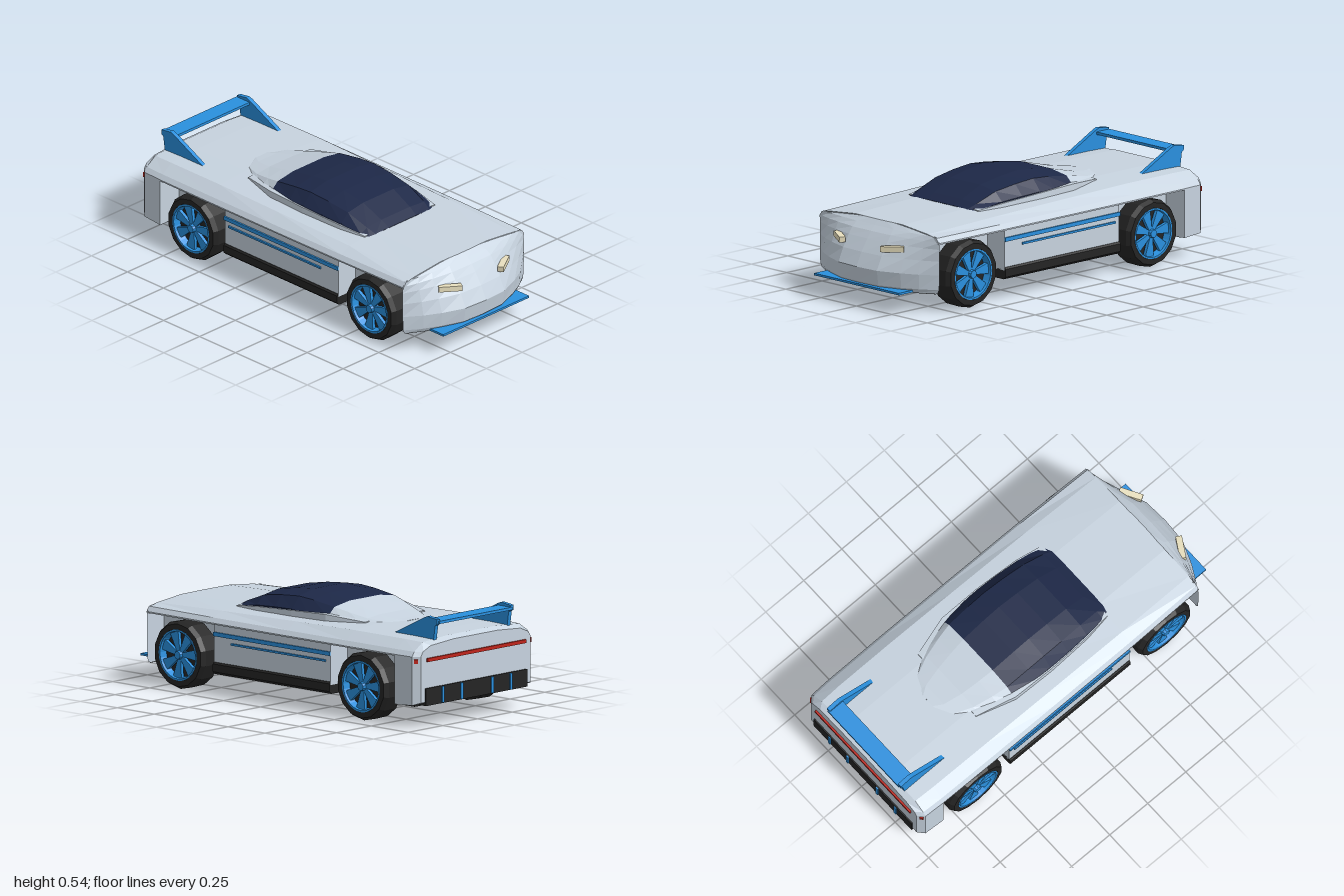
import * as THREE from 'three';

const mat = (name, color) => {
  const m = new THREE.MeshStandardMaterial({ color });
  m.name = name;
  return m;
};

export function createModel() {
  const paint = mat('silverPaint', 0xc7d3df);
  const blue = mat('blueAccent', 0x2a90de);
  const glass = mat('navyGlass', 0x1d2847);
  const black = mat('blackTrim', 0x242424);
  const cream = mat('creamLamp', 0xe8dfbe);
  const red = mat('redLamp', 0xc0241a);
  const model = new THREE.Group();
  model.name = 'sportsCar';

  const flat = (geo) => {
    const g = geo.index ? geo.toNonIndexed() : geo;
    g.computeVertexNormals();
    return g;
  };
  const add = (name, geo, material, parent = model) => {
    const mesh = new THREE.Mesh(geo, material);
    mesh.name = name;
    parent.add(mesh);
    return mesh;
  };
  const box = (name, material, x0, x1, y0, y1, z0, z1) => {
    const mesh = add(name, new THREE.BoxGeometry(x1 - x0, y1 - y0, z1 - z0), material);
    mesh.position.set((x0 + x1) / 2, (y0 + y1) / 2, (z0 + z1) / 2);
    return mesh;
  };

  // Closed, capped skin over rings that run counter-clockwise seen from the far end
  const loft = (rings) => {
    const out = [];
    const n = rings[0].length;
    const tri = (...pts) => pts.forEach((p) => out.push(...p));
    for (let i = 0; i < rings.length - 1; i++) {
      for (let j = 0; j < n; j++) {
        const k = (j + 1) % n;
        const a = rings[i], b = rings[i + 1];
        tri(a[j], a[k], b[k]);
        tri(a[j], b[k], b[j]);
      }
    }
    const cap = (ring, end) => {
      const c = [0, 1, 2].map((q) => ring.reduce((s, p) => s + p[q], 0) / n);
      for (let j = 0; j < n; j++) {
        const k = (j + 1) % n;
        if (end) tri(c, ring[j], ring[k]);
        else tri(c, ring[k], ring[j]);
      }
    };
    cap(rings[0], false);
    cap(rings[rings.length - 1], true);
    const g = new THREE.BufferGeometry();
    g.setAttribute('position', new THREE.Float32BufferAttribute(out, 3));
    return flat(g);
  };
  // Mirrors the +x half of a cross-section
  const mirrored = (half, z) => [
    ...half.map(([x, y]) => [x, y, z]),
    ...half.slice().reverse().map(([x, y]) => [-x, y, z]),
  ];
  const bodyRing = (z, hw, top, bottom, drop = 0.012) => mirrored([
    [hw, bottom], [hw, 0.362], [hw * 0.96, 0.386], [hw * 0.82, top - drop], [hw * 0.4, top],
  ], z);

  // Upper shell and tail
  add('upperBody', loft([
    bodyRing(-0.84, 0.43, 0.441, 0.355), bodyRing(-0.5, 0.432, 0.442, 0.355),
    bodyRing(-0.1, 0.432, 0.435, 0.355), bodyRing(0.4, 0.43, 0.427, 0.355, 0.015),
    bodyRing(0.845, 0.422, 0.415, 0.355, 0.018),
  ]), paint);
  add('tail', loft([
    bodyRing(-0.987, 0.395, 0.422, 0.13), bodyRing(-0.955, 0.425, 0.438, 0.118),
    bodyRing(-0.84, 0.43, 0.441, 0.112),
  ]), paint);

  // Nose: level rings, each tapering forward to its own depth [y, half width, front z]
  const bow = [[-1, 0], [-0.8, 0.38], [-0.6, 0.66], [-0.32, 0.95], [0, 1], [0.32, 0.95], [0.6, 0.66], [0.8, 0.38], [1, 0]];
  const noseLevels = [
    [0.105, 0.41, 0.97], [0.125, 0.42, 0.988], [0.2, 0.424, 1.0], [0.27, 0.424, 0.965],
    [0.33, 0.424, 0.925], [0.365, 0.422, 0.9], [0.39, 0.4, 0.873], [0.415, 0.17, 0.848],
  ];
  add('nose', loft(noseLevels.map(([y, hw, zf]) => bow.map(
    ([u, f]) => [u * hw, y, 0.84 + (zf - 0.84) * f]))), paint);

  // Doors, wheel-well walls, floors and sills
  box('doors', paint, -0.42, 0.42, 0.15, 0.36, -0.4, 0.39);
  box('wheelWellWalls', paint, -0.3, 0.3, 0.15, 0.356, -0.85, 0.845);
  box('upperFloor', black, -0.3, 0.3, 0.142, 0.15, -0.85, 0.845);
  box('midFloor', black, -0.4, 0.4, 0.108, 0.155, -0.4, 0.39);
  box('tailFloor', black, -0.4, 0.4, 0.108, 0.116, -0.95, -0.845);
  add('noseFloor', loft([0.101, 0.106].map(
    (y) => bow.map(([u, f]) => [u * 0.4, y, 0.841 + 0.12 * f]))), black);
  for (const [side, s] of [['left', 1], ['right', -1]]) {
    const sill = [[0.36, 0.105], [0.415, 0.105], [0.429, 0.118], [0.429, 0.157], [0.422, 0.166], [0.36, 0.166]];
    const ring = s > 0 ? sill : sill.map(([x, y]) => [-x, y]).reverse();
    add(side + 'Sill', loft([-0.4, 0.39].map((z) => ring.map(([x, y]) => [x, y, z]))), black);
    box(side + 'UpperStripe', blue, s * 0.424 - 0.0045, s * 0.424 + 0.0045, 0.297, 0.317, -0.4, 0.39);
    box(side + 'LowerStripe', blue, s * 0.424 - 0.0045, s * 0.424 + 0.0045, 0.264, 0.274, -0.37, 0.27);
  }

  // Cabin: glass in front, painted fairing behind, painted ledge along the sides
  const cabinRing = (z, w, top, base = 0.41) => {
    const h = top - base;
    return mirrored([
      [w, base], [w * 0.98, base + h * 0.38], [w * 0.8, base + h * 0.83], [w * 0.4, top],
    ], z);
  };
  add('windowGlass', loft([
    cabinRing(-0.235, 0.272, 0.511), cabinRing(-0.1, 0.277, 0.533), cabinRing(0, 0.278, 0.542),
    cabinRing(0.12, 0.274, 0.531), cabinRing(0.25, 0.265, 0.509), cabinRing(0.37, 0.25, 0.455),
    cabinRing(0.42, 0.235, 0.428),
  ]), glass);
  add('rearFairing', loft([
    cabinRing(-0.565, 0.09, 0.443), cabinRing(-0.52, 0.165, 0.448), cabinRing(-0.42, 0.22, 0.463),
    cabinRing(-0.32, 0.252, 0.489), cabinRing(-0.235, 0.272, 0.511),
  ]), paint);
  const ledgeRing = (z, w, top) => mirrored([[w, 0.41], [w - 0.003, top], [w - 0.03, top + 0.002]], z);
  add('cabinLedge', loft([
    ledgeRing(-0.44, 0.22, 0.443), ledgeRing(-0.23, 0.279, 0.463), ledgeRing(0, 0.283, 0.456),
    ledgeRing(0.25, 0.271, 0.442), ledgeRing(0.4, 0.248, 0.426),
  ]), paint);

  // Front splitter and wedge headlamps
  box('frontSplitter', blue, -0.3, 0.3, 0.105, 0.116, 0.9, 1.0);
  for (const [side, s] of [['left', 1], ['right', -1]]) {
    const lamp = box(side + 'Headlamp', cream, -0.06, 0.06, -0.014, 0.014, -0.02, 0.012);
    lamp.position.set(s * 0.187, 0.311, 0.934);
    lamp.rotation.set(0, s * 0.54, s * 0.05);
  }

  // Rear lamps, bumper and diffuser fins
  box('rearLightBar', red, -0.355, 0.355, 0.332, 0.35, -0.997, -0.985);
  box('rearBumper', black, -0.365, 0.365, 0.112, 0.2, -0.994, -0.94);
  for (const x of [-0.245, -0.11, 0.11, 0.245]) {
    box('diffuserFin', blue, x - 0.008, x + 0.008, 0.115, 0.196, -1.0, -0.96);
  }
  for (const s of [1, -1]) {
    const marker = box('cornerMarker', red, -0.01, 0.01, 0.329, 0.349, -0.004, 0.004);
    marker.position.set(s * 0.413, 0.339, -0.971);
    marker.rotation.y = -s * 0.75;
  }

  // Rear wing on two swept end plates
  const v = (pts) => pts.map(([x, y]) => new THREE.Vector2(x, y));
  const plateGeo = new THREE.ExtrudeGeometry(new THREE.Shape(v([
    [0.69, 0.43], [0.96, 0.42], [0.972, 0.5], [0.985, 0.51], [0.985, 0.533], [0.92, 0.542], [0.9, 0.535],
  ])), { depth: 0.022, bevelEnabled: false });
  plateGeo.rotateY(Math.PI / 2).translate(-0.011, 0, 0);
  for (const s of [1, -1]) {
    add('wingEndPlate', plateGeo, blue).position.x = s * 0.265;
  }
  box('wingBlade', blue, -0.265, 0.265, 0.51, 0.524, -0.99, -0.9);

  // Wheels: dished tyre, rim ring, wedge spokes and hub
  const tyreGeo = flat(new THREE.LatheGeometry(v([
    [0, -0.064], [0.15, -0.064], [0.17, -0.054], [0.172, 0.035], [0.158, 0.059], [0.13, 0.059], [0.122, 0.015], [0, 0.015],
  ]), 14)).rotateX(Math.PI / 2);
  const rimGeo = flat(new THREE.LatheGeometry(v([
    [0.128, 0.02], [0.128, 0.06], [0.119, 0.06], [0.112, 0.02],
  ]), 28)).rotateX(Math.PI / 2);
  const spokeGeo = new THREE.ExtrudeGeometry(
    new THREE.Shape(v([[0.012, -0.009], [0.112, -0.04], [0.119, 0.016], [0.012, 0.009]])),
    { depth: 0.018, bevelEnabled: false });
  const hubGeo = flat(new THREE.CylinderGeometry(0.02, 0.028, 0.045, 10)).rotateX(Math.PI / 2);
  for (const [end, z] of [['front', 0.62], ['rear', -0.62]]) {
    for (const [side, s] of [['Left', 1], ['Right', -1]]) {
      const wheel = new THREE.Group();
      wheel.name = end + side + 'Wheel';
      wheel.position.set(s * 0.378, 0.172, z);
      wheel.rotation.y = s * Math.PI / 2;
      add('tyre', tyreGeo, black, wheel);
      add('rim', rimGeo, blue, wheel);
      add('hub', hubGeo, blue, wheel).position.z = 0.04;
      for (let i = 0; i < 7; i++) {
        const spoke = add('spoke', spokeGeo, blue, wheel);
        spoke.position.z = 0.028;
        spoke.rotation.z = (i * Math.PI * 2) / 7 + 0.2;
      }
      model.add(wheel);
    }
  }
  return model;
}
